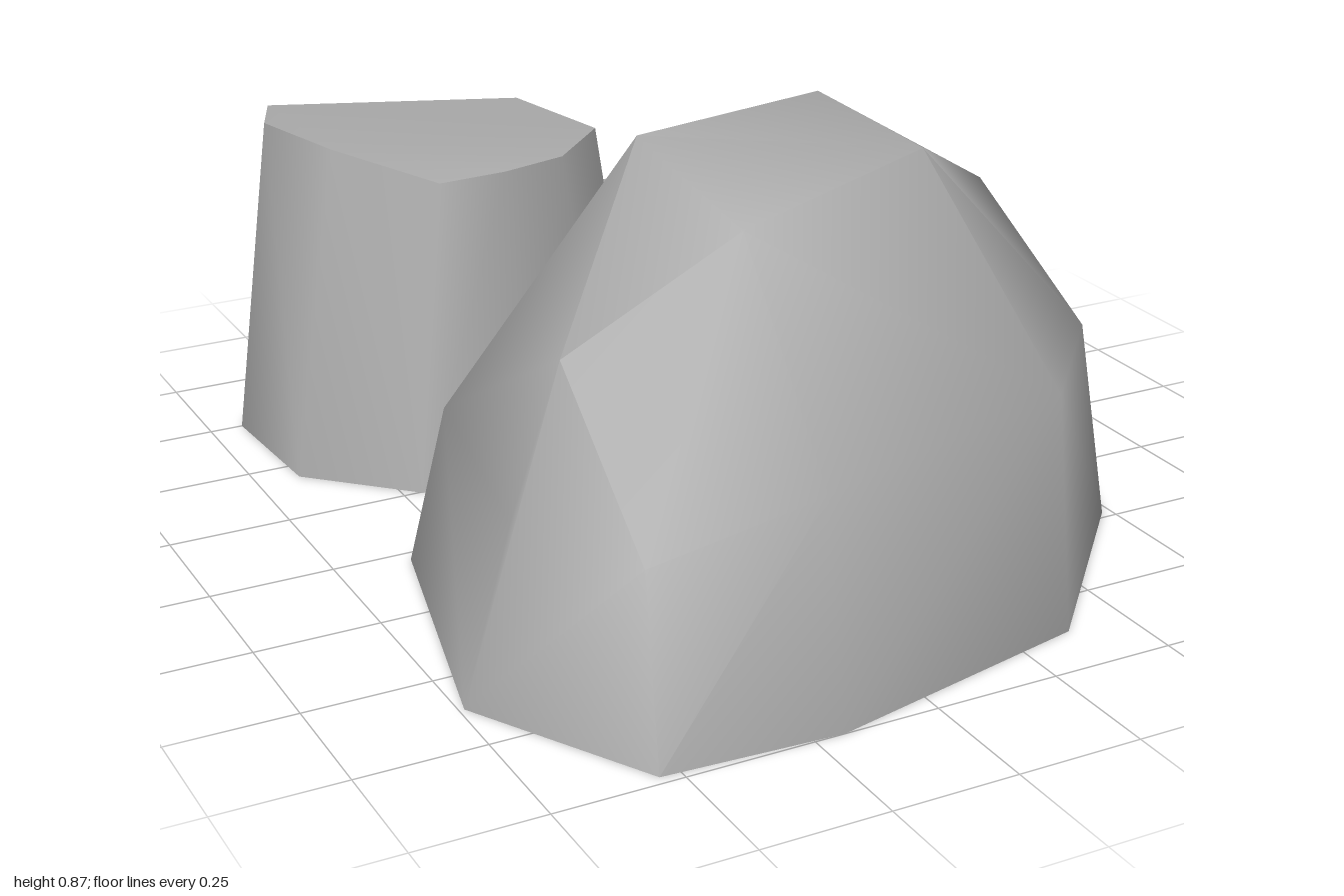
import * as THREE from 'three';
import { ConvexGeometry } from 'three/addons/geometries/ConvexGeometry.js';
import { toCreasedNormals } from 'three/addons/utils/BufferGeometryUtils.js';

// Convex boulder shell, open underneath, with soft shading across gentle edges
function boulderGeometry(corners) {
  const hull = new ConvexGeometry(corners.map(c => new THREE.Vector3(...c)));
  const p = hull.attributes.position;
  const kept = [];
  const tri = new THREE.Triangle();
  const n = new THREE.Vector3();
  for (let i = 0; i < p.count; i += 3) {
    tri.setFromAttributeAndIndices(p, i, i + 1, i + 2).getNormal(n);
    if (n.y > -0.6) kept.push(...tri.a, ...tri.b, ...tri.c);
  }
  const shell = new THREE.BufferGeometry();
  shell.setAttribute('position', new THREE.Float32BufferAttribute(kept, 3));
  return toCreasedNormals(shell, 0.95);
}

const boulders = {
  largeBoulder: [
    // ground outline
    [0, 0, -0.25], [0.37, 0, -0.18], [0.66, 0, 0.1], [0.73, 0, 0.48], [0.37, 0, 0.87],
    [-0.19, 0, 1], [-0.54, 0, 0.98], [-0.74, 0, 0.62], [-0.6, 0, 0.03],
    // shoulder
    [0, 0.36, -0.16], [0.38, 0.4, -0.1], [0.635, 0.63, 0.13], [0.66, 0.42, 0.47], [0.36, 0.46, 0.82],
    [-0.18, 0.41, 0.91], [-0.51, 0.33, 0.87], [-0.635, 0.33, 0.6], [-0.54, 0.33, 0.08],
    // crown
    [-0.54, 0.62, 0.61], [-0.19, 0.8, 0.62], [0.24, 0.86, 0.52], [0.24, 0.87, 0.14], [-0.19, 0.86, 0.21],
  ],
  mediumBoulder: [
    // ground outline
    [-0.57, 0, -0.91], [0.07, 0, -0.89], [0.17, 0, -0.51], [0.02, 0, -0.35],
    [-0.19, 0, -0.28], [-0.46, 0, -0.245], [-0.66, 0, -0.44], [-0.68, 0, -0.75],
    // top
    [-0.54, 0.68, -0.87], [0.03, 0.63, -0.83], [0.1, 0.62, -0.57], [-0.05, 0.62, -0.42],
    [-0.2, 0.62, -0.38], [-0.35, 0.62, -0.37], [-0.52, 0.67, -0.54], [-0.59, 0.68, -0.75],
  ],
  smallBoulder: [
    // ground outline, lifted at the back corner
    [0.25, 0, -0.98], [0.55, 0.08, -1], [0.65, 0, -0.76], [0.53, 0, -0.61],
    [0.41, 0, -0.56], [0.26, 0, -0.535], [0.17, 0, -0.67], [0.13, 0, -0.83],
    // top
    [0.27, 0.36, -0.95], [0.53, 0.36, -0.97], [0.6, 0.36, -0.77], [0.51, 0.36, -0.68],
    [0.38, 0.36, -0.62], [0.28, 0.36, -0.62], [0.21, 0.36, -0.72], [0.18, 0.36, -0.84],
  ],
};

export function createModel() {
  const group = new THREE.Group();
  group.name = 'boulders';
  const stone = new THREE.MeshStandardMaterial({ color: 0xaaaaaa, side: THREE.DoubleSide });
  stone.name = 'grey stone';
  for (const [name, corners] of Object.entries(boulders)) {
    const mesh = new THREE.Mesh(boulderGeometry(corners), stone);
    mesh.name = name;
    group.add(mesh);
  }
  return group;
}
